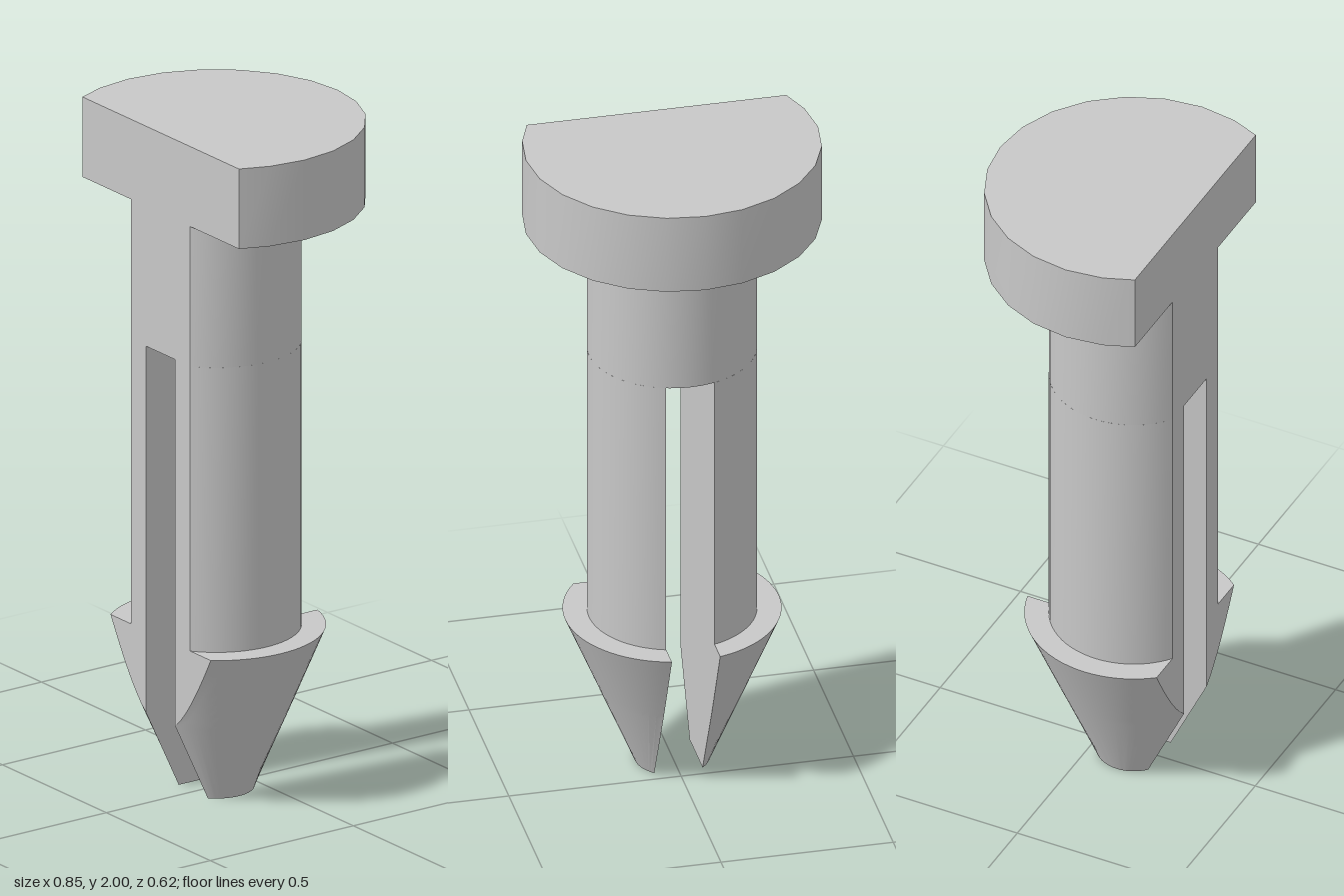
import * as THREE from 'three';
import { toCreasedNormals } from 'three/addons/utils/BufferGeometryUtils.js';

const AXIS_Z = 0.115;   // axis of the round sections
const FLAT = 0.195;     // distance from the axis to the flat front
const SLOT = 0.07;      // half width of the slot

// Round section with a flat front, as [x, z] points, counterclockwise from above.
function dSection(r, steps = 48) {
  const cut = Math.asin(FLAT / r);
  const angles = [-cut];
  for (let i = 0; i <= steps; i++) {
    const a = -Math.PI / 2 + (i / steps) * Math.PI * 2;
    if (a > -cut + 0.01 && a < Math.PI + cut - 0.01) angles.push(a);
  }
  angles.push(Math.PI + cut);
  return angles.map(a => [r * Math.cos(a), AXIS_Z - r * Math.sin(a)]);
}

// One half of that section, beside the slot; side is 1 or -1.
function halfSection(r, side, steps = 24) {
  const end = Math.acos(SLOT / r);
  const start = -Math.min(end, Math.asin(Math.min(1, FLAT / r)));
  const ring = [];
  for (let i = 0; i <= steps; i++) {
    const a = start + (end - start) * i / steps;
    ring.push([side * r * Math.cos(a), AXIS_Z - r * Math.sin(a)]);
  }
  ring.push([side * SLOT, AXIS_Z + r * Math.sin(-start)]);
  return side > 0 ? ring : ring.reverse();
}

// Closed solid through a stack of rings, each { y, ring }.
function loft(levels) {
  const pos = [];
  const put = (level, i) => {
    const [x, z] = level.ring[i % level.ring.length];
    pos.push(x, level.y, z);
  };
  const n = levels[0].ring.length;
  for (let k = 0; k < levels.length - 1; k++) {
    const lo = levels[k], hi = levels[k + 1];
    for (let i = 0; i < n; i++) {
      put(lo, i); put(lo, i + 1); put(hi, i + 1);
      put(lo, i); put(hi, i + 1); put(hi, i);
    }
  }
  const bottom = levels[0], top = levels[levels.length - 1];
  for (let i = 1; i < n - 1; i++) {
    put(bottom, 0); put(bottom, i + 1); put(bottom, i);
    put(top, 0); put(top, i); put(top, i + 1);
  }
  const geo = new THREE.BufferGeometry();
  geo.setAttribute('position', new THREE.Float32BufferAttribute(pos, 3));
  return toCreasedNormals(geo, 0.35);
}

export function createModel() {
  const group = new THREE.Group();
  const grey = new THREE.MeshStandardMaterial({ color: 0xc8c8c8 });
  grey.name = 'grey plastic';

  const add = (name, levels) => {
    const mesh = new THREE.Mesh(loft(levels), grey);
    mesh.name = name;
    group.add(mesh);
  };
  const prism = (ring, y0, y1) => [{ y: y0, ring }, { y: y1, ring }];

  // Head and the solid upper shaft
  add('head', prism(dSection(0.424, 24), 1.76, 2));
  add('upperShaft', prism(dSection(0.241), 1.34, 1.76));

  // Two legs beside the slot, each ending in a tapered barb
  const barbTop = 0.486, rLow = 0.107, rHigh = 0.31;
  const rClip = Math.hypot(SLOT, FLAT); // radius where the flat front begins
  const radii = [rLow, rClip];
  for (let i = 1; i <= 10; i++) radii.push(rClip + (rHigh - rClip) * i / 10);

  for (const side of [1, -1]) {
    const label = side > 0 ? 'left' : 'right';
    add(label + 'Leg', prism(halfSection(0.241, side), barbTop, 1.34));
    add(label + 'Barb', radii.map(r => ({
      y: barbTop * (r - rLow) / (rHigh - rLow),
      ring: halfSection(r, side),
    })));
  }
  return group;
}
